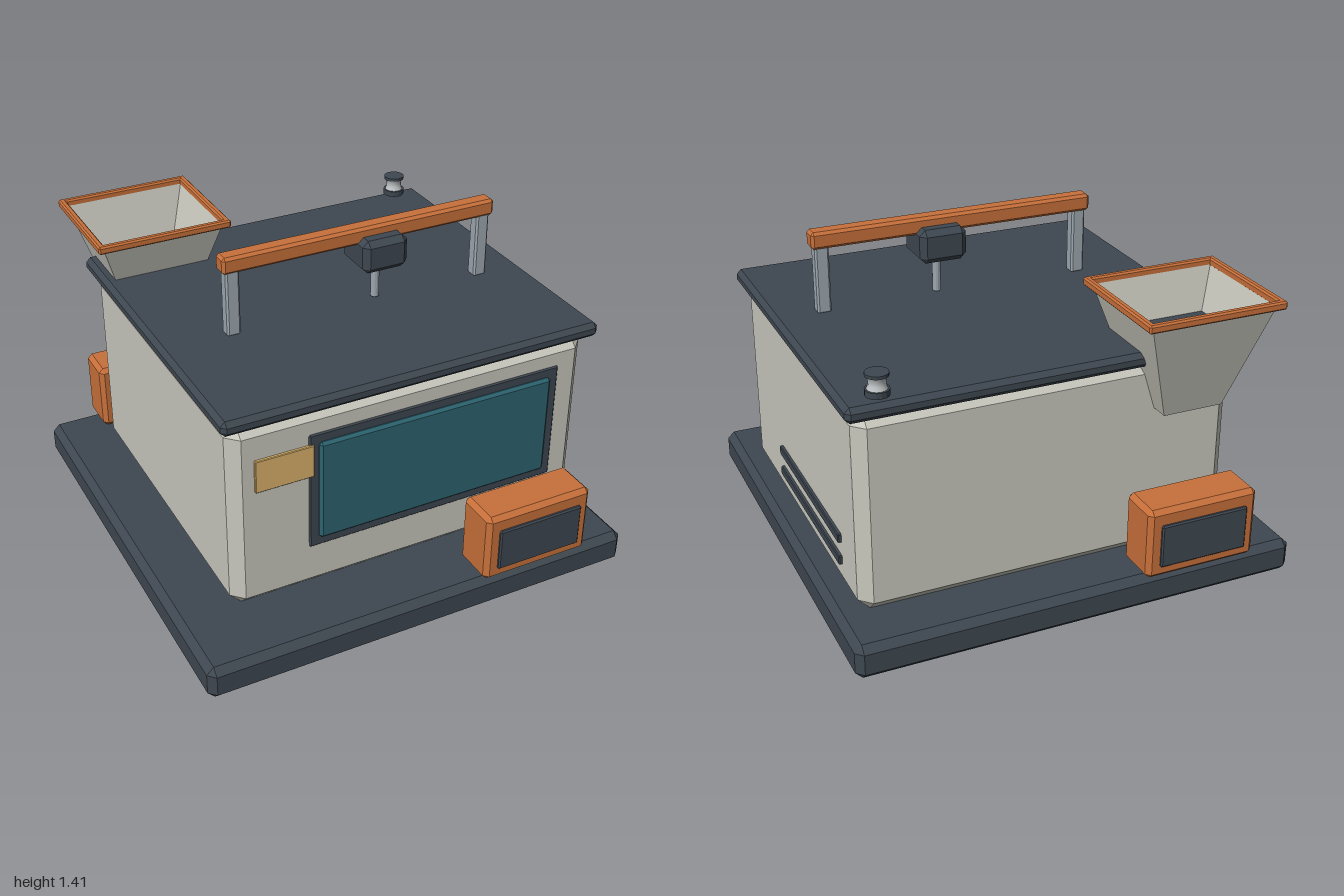
import * as THREE from 'three';
import { ConvexGeometry } from 'three/addons/geometries/ConvexGeometry.js';

const material = (color, extra = {}) => {
  const m = new THREE.MeshStandardMaterial({ color, flatShading: true });
  return Object.assign(m, extra);
};

export function createModel() {
  const root = new THREE.Group();
  const shell = material(0xc8c8be);
  const funnelMat = material(0xc8c8be, { side: THREE.DoubleSide });
  const dark = material(0x3e4750);
  const orange = material(0xc8703a);
  const teal = material(0x2d6470);
  const amber = material(0xdab26a);
  const steel = material(0x9da8b0);
  const metal = material(0xc4c8ca, { flatShading: false });

  const add = (name, geometry, mat, parent = root) => {
    const mesh = new THREE.Mesh(geometry, mat);
    mesh.name = name;
    parent.add(mesh);
    return mesh;
  };

  // Box with flat chamfered edges, given by its extents on each axis
  const block = (name, [x0, x1], [y0, y1], [z0, z1], c, mat, parent) => {
    const hx = (x1 - x0) / 2, hy = (y1 - y0) / 2, hz = (z1 - z0) / 2;
    const points = [];
    for (const sx of [-1, 1]) for (const sy of [-1, 1]) for (const sz of [-1, 1]) {
      points.push(
        new THREE.Vector3(sx * hx, sy * (hy - c), sz * (hz - c)),
        new THREE.Vector3(sx * (hx - c), sy * hy, sz * (hz - c)),
        new THREE.Vector3(sx * (hx - c), sy * (hy - c), sz * hz));
    }
    const mesh = add(name, new ConvexGeometry(points), mat, parent);
    mesh.position.set((x0 + x1) / 2, (y0 + y1) / 2, (z0 + z1) / 2);
    return mesh;
  };

  // Base, housing and lid
  block('base', [-0.96, 0.96], [0, 0.15], [-0.955, 0.97], 0.03, dark);
  block('housing', [-0.73, 0.87], [0.15, 1.005], [-0.76, 0.69], 0.05, shell);
  block('lid', [-0.765, 0.91], [1.0, 1.065], [-0.8, 0.72], 0.02, dark);

  // Front window and label plate
  block('windowFrame', [-0.4, 0.74], [0.36, 0.895], [0.66, 0.696], 0.006, dark);
  block('windowGlass', [-0.36, 0.7], [0.4, 0.855], [0.67, 0.712], 0.012, teal);
  block('labelPlate', [-0.63, -0.38], [0.705, 0.85], [0.68, 0.702], 0.003, amber);

  // Side vents
  for (const y of [0.26, 0.36]) {
    block('sideVent', [0.85, 0.885], [y, y + 0.04], [-0.54, 0.26], 0.004, dark);
  }

  // Front and rear trays, the rear one turned half a circle
  for (const [name, angle] of [['frontTray', 0], ['rearTray', Math.PI]]) {
    const tray = new THREE.Group();
    tray.name = name;
    tray.rotation.y = angle;
    block('trayBox', [0.25, 0.745], [0.155, 0.465], [0.793, 0.987], 0.02, orange, tray);
    block('trayPanel', [0.305, 0.695], [0.208, 0.398], [0.96, 1.0], 0.006, dark, tray);
    root.add(tray);
  }

  // Gantry with its head and nozzle
  const gantry = new THREE.Group();
  gantry.name = 'gantry';
  root.add(gantry);
  for (const x of [-0.455, 0.7]) {
    block('gantryPost', [x - 0.03, x + 0.03], [1.06, 1.36], [0.083, 0.138], 0.008, steel, gantry);
  }
  block('gantryBeam', [-0.5, 0.745], [1.342, 1.415], [0.072, 0.147], 0.012, orange, gantry);
  block('gantryHead', [0.095, 0.3], [1.23, 1.375], [0.008, 0.213], 0.025, dark, gantry);
  add('nozzle', new THREE.CylinderGeometry(0.018, 0.018, 0.16, 12), steel, gantry)
    .position.set(0.198, 1.155, 0.11);

  // Spool-shaped knob on the rear corner of the lid
  const knob = new THREE.Group();
  knob.name = 'knob';
  knob.position.set(0.77, 0, -0.745);
  root.add(knob);
  const disc = (name, r, y0, y1, mat) =>
    add(name, new THREE.CylinderGeometry(r, r, y1 - y0, 16), mat, knob)
      .position.y = (y0 + y1) / 2;
  disc('knobFoot', 0.048, 1.08, 1.105, dark);
  disc('knobCap', 0.046, 1.157, 1.17, dark);
  const waist = [[0.04, 1.105], [0.034, 1.122], [0.034, 1.14], [0.042, 1.157]];
  add('knobWaist', new THREE.LatheGeometry(
    waist.map(([r, y]) => new THREE.Vector2(r, y)), 16), metal, knob);

  // Open hopper: a square tube tapered by height
  const hopper = new THREE.Group();
  hopper.name = 'hopper';
  hopper.position.set(-0.505, 0, -0.7175);
  root.add(hopper);
  const funnel = new THREE.CylinderGeometry(Math.SQRT2, Math.SQRT2, 1, 4, 1, true);
  funnel.rotateY(Math.PI / 4);
  const p = funnel.attributes.position;
  for (let i = 0; i < p.count; i++) {
    const top = p.getY(i) > 0;
    p.setXYZ(i, p.getX(i) * (top ? 0.275 : 0.13), top ? 1.255 : 0.8,
      p.getZ(i) * (top ? 0.245 : 0.123));
  }
  funnel.computeVertexNormals();
  add('hopperFunnel', funnel, funnelMat, hopper);
  for (const s of [-1, 1]) {
    const zs = [s * 0.242, s * 0.272].sort((a, b) => a - b);
    const xs = [s * 0.27, s * 0.3].sort((a, b) => a - b);
    block('hopperRim', [-0.285, 0.285], [1.235, 1.27], zs, 0.007, orange, hopper);
    block('hopperRim', xs, [1.235, 1.27], [-0.272, 0.272], 0.007, orange, hopper);
  }

  return root;
}
